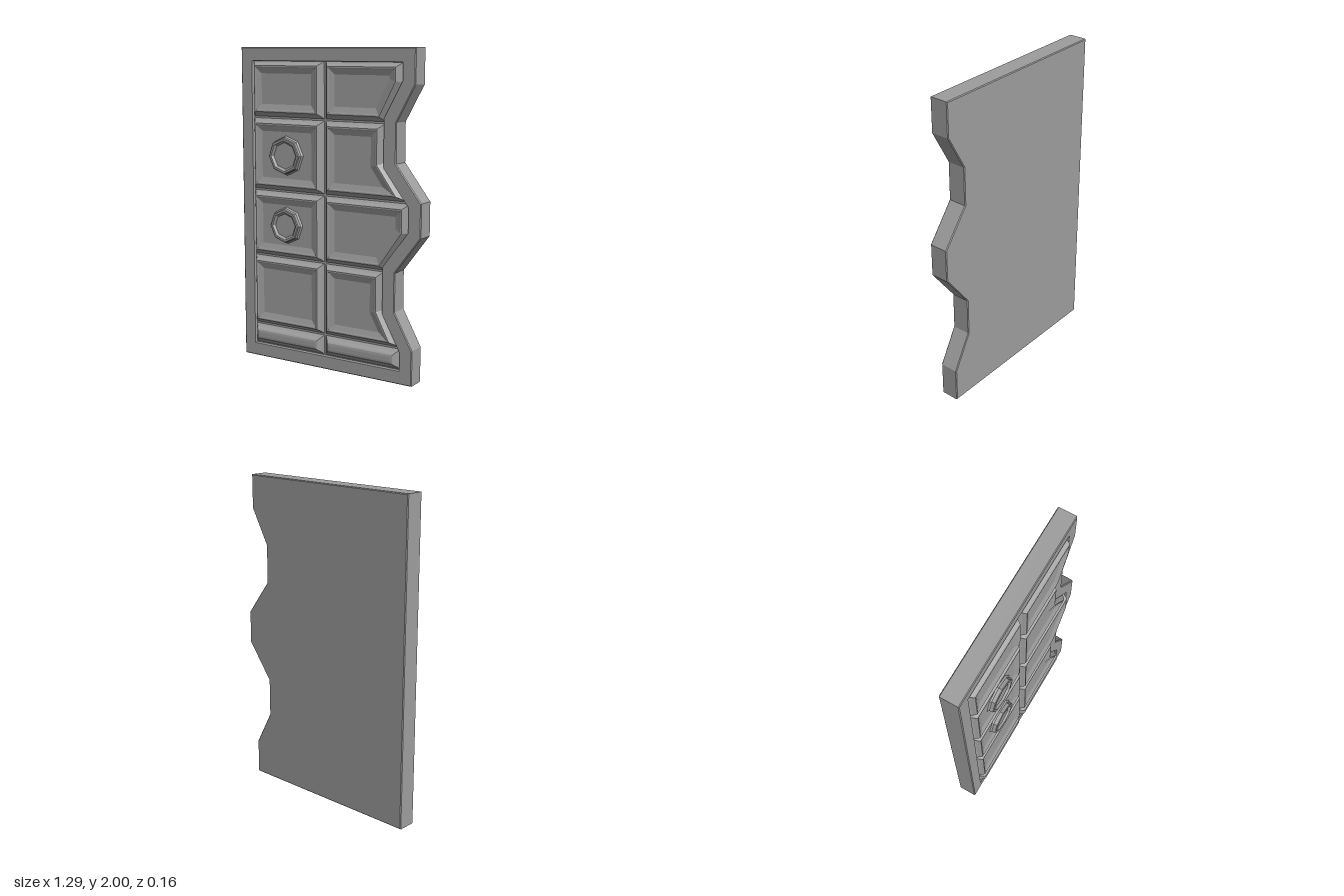
import * as THREE from 'three';

const material = new THREE.MeshStandardMaterial({ color: 0x9d9d9d, flatShading: true });

// Moves every edge of a counter-clockwise outline inwards by d, with mitred corners.
function inset(points, d) {
  const n = points.length;
  const normal = (a, b) => new THREE.Vector2(a.y - b.y, b.x - a.x).normalize();
  return points.map((p, i) => {
    const n1 = normal(points[(i + n - 1) % n], p);
    const n2 = normal(p, points[(i + 1) % n]);
    return n1.clone().add(n2).multiplyScalar(d / (1 + n1.dot(n2))).add(p);
  });
}

// Skins an outline through [inset, z] rings and closes the front (and the back if asked).
function loft(name, outline, rings, closeBack = false) {
  const points = outline.map(([x, y]) => new THREE.Vector2(x, y));
  const loops = rings.map(([d, z]) => inset(points, d).map((p) => [p.x, p.y, z]));
  const pos = [];
  const tri = (a, b, c) => pos.push(...a, ...b, ...c);
  for (let k = 0; k + 1 < loops.length; k++) {
    const a = loops[k], b = loops[k + 1];
    for (let i = 0; i < a.length; i++) {
      const j = (i + 1) % a.length;
      tri(a[i], a[j], b[j]);
      tri(a[i], b[j], b[i]);
    }
  }
  const cap = (loop, flip) => {
    const flat = loop.map(([x, y]) => new THREE.Vector2(x, y));
    for (const [a, b, c] of THREE.ShapeUtils.triangulateShape(flat, [])) {
      if (flip) tri(loop[a], loop[c], loop[b]);
      else tri(loop[a], loop[b], loop[c]);
    }
  };
  cap(loops[loops.length - 1], false);
  if (closeBack) cap(loops[0], true);
  const geometry = new THREE.BufferGeometry();
  geometry.setAttribute('position', new THREE.Float32BufferAttribute(pos, 3));
  geometry.computeVertexNormals();
  const mesh = new THREE.Mesh(geometry, material);
  mesh.name = name;
  return mesh;
}

export function createModel() {
  const model = new THREE.Group();
  model.name = 'doorPanel';

  // Slab with a notched edge, a flat border and a sunken field
  const slab = [
    [-0.643, 0], [0.595, 0], [0.595, 0.22], [0.474, 0.44], [0.474, 0.68], [0.643, 0.905],
    [0.643, 1.11], [0.474, 1.33], [0.474, 1.57], [0.595, 1.79], [0.595, 2], [-0.643, 2],
  ];
  model.add(loft('slab', slab, [
    [0.005, -0.082], [0, -0.077], [0, 0.033], [0.005, 0.038], [0.082, 0.038], [0.086, 0.02],
  ], true));

  // Raised panels with sloping rims and dished centres; the bottom strips are plain pillows
  const stripRings = [
    [0, 0.018], [0.018, 0.037], [0.028, 0.053], [0.036, 0.06], [0.05, 0.062],
  ];
  const panelRings = [
    [0, 0.018], [0.018, 0.037], [0.026, 0.053], [0.032, 0.06],
    [0.04, 0.06], [0.048, 0.056], [0.08, 0.046],
  ];
  const rows = [[0.09, 0.217], [0.225, 0.677], [0.685, 1.102], [1.11, 1.562], [1.57, 1.92]];
  // Corners on the notched side of each row, from bottom to top
  const notched = [
    [[0.51, 0.09], [0.51, 0.217]],
    [[0.505, 0.225], [0.39, 0.44], [0.39, 0.677]],
    [[0.395, 0.685], [0.56, 0.92], [0.56, 1.102]],
    [[0.55, 1.11], [0.39, 1.33], [0.39, 1.562]],
    [[0.39, 1.57], [0.51, 1.8], [0.51, 1.92]],
  ];
  rows.forEach(([y0, y1], i) => {
    const rings = i === 0 ? stripRings : panelRings;
    model.add(loft('rightPanel' + (i + 1), [[-0.56, y0], [-0.03, y0], [-0.03, y1], [-0.56, y1]], rings));
    model.add(loft('leftPanel' + (i + 1), [[-0.022, y0], ...notched[i], [-0.022, y1]], rings));
  });

  // Octagonal studs with flared feet and hollowed faces
  for (const [name, y, r] of [['lowerStud', 0.895, 0.119], ['upperStud', 1.335, 0.126]]) {
    const octagon = Array.from({ length: 8 }, (_, k) => {
      const a = (k * Math.PI) / 4 + 0.04;
      return [-0.293 + r * Math.cos(a), y + r * Math.sin(a)];
    });
    model.add(loft(name, octagon, [
      [0, 0.044], [0.01, 0.056], [0.011, 0.077], [0.016, 0.081], [0.028, 0.081], [0.04, 0.068],
    ]));
  }
  return model;
}
